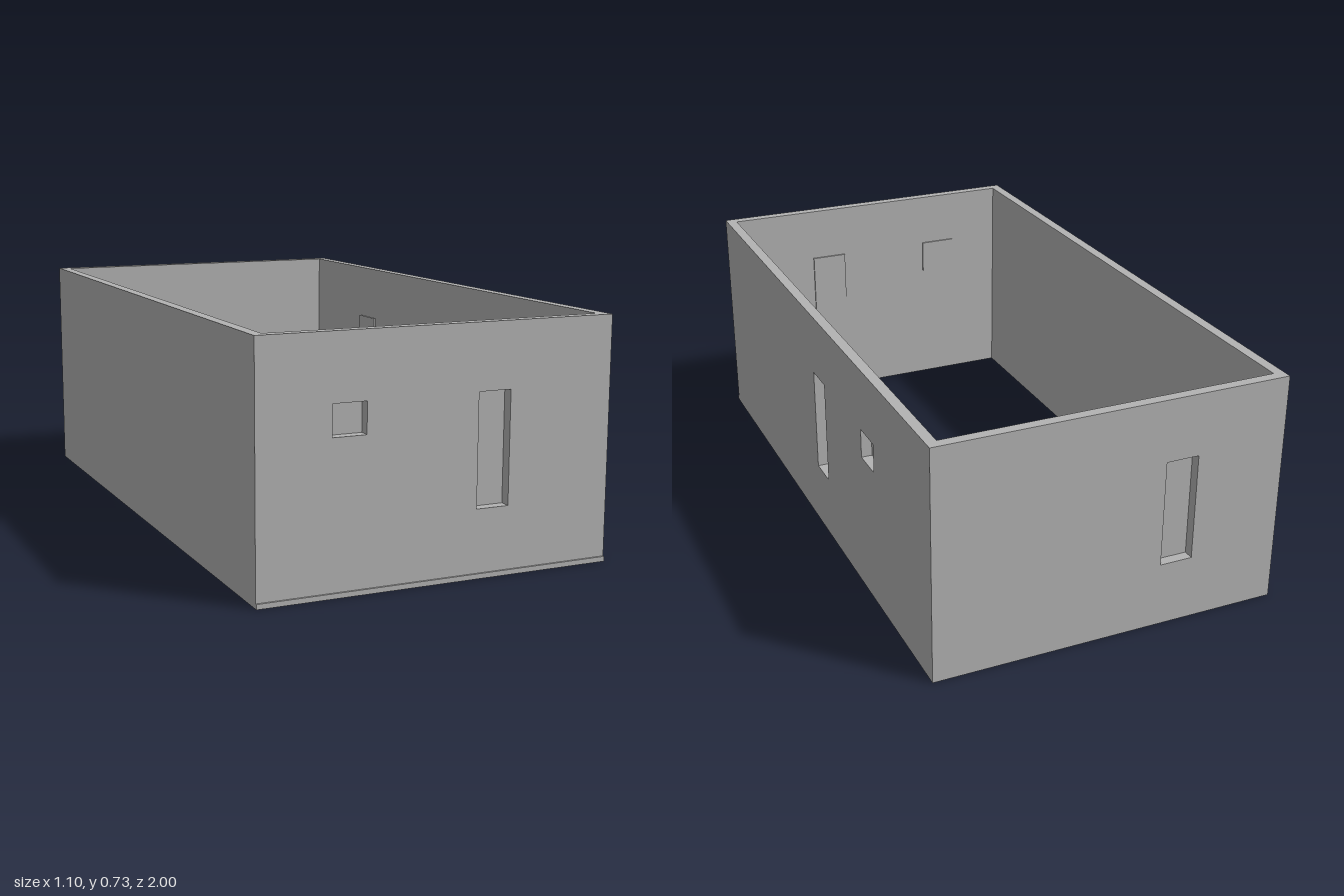
import * as THREE from 'three';

const H = 0.733;          // wall height
const X = 0.552;          // half width outside
const T = 0.033;          // wall thickness
const BACK = -1, FRONT = 0.994;
const LIP = 0.006;        // how far niche backs stand out into the room
const MARGIN = 0.011;     // niche back overlap around its opening

const grey = new THREE.MeshStandardMaterial({ color: 0xb3b3b3 });
grey.name = 'plaster grey';

function rect(Kind, x0, x1, y0, y1) {
  return new Kind([[x0, y0], [x1, y0], [x1, y1], [x0, y1]].map(p => new THREE.Vector2(...p)));
}

function box(name, w, h, d, x, y, z) {
  const mesh = new THREE.Mesh(new THREE.BoxGeometry(w, h, d), grey);
  mesh.name = name;
  mesh.position.set(x, y, z);
  return mesh;
}

// Wall whose outside is local +z at z = T; niches are [x0, x1, y0, y1]
function wall(name, x0, x1, niches) {
  const group = new THREE.Group();
  group.name = name;
  const shape = rect(THREE.Shape, x0, x1, 0, H);
  niches.forEach(n => shape.holes.push(rect(THREE.Path, ...n)));
  const panel = new THREE.Mesh(
    new THREE.ExtrudeGeometry(shape, { depth: T, bevelEnabled: false }), grey);
  panel.name = name + 'Panel';
  group.add(panel);
  // plates closing the niches on the room side
  niches.forEach(([a, b, c, d]) => group.add(box('nicheBack',
    b - a + 2 * MARGIN, d - c + 2 * MARGIN, LIP, (a + b) / 2, (c + d) / 2, -LIP / 2)));
  return group;
}

export function createModel() {
  const model = new THREE.Group();
  model.name = 'walledRoom';
  const TALL = [0.203, 0.538], SMALL = [0.446, 0.538];

  const front = wall('frontWall', -X, X, [[-0.33, -0.227, ...SMALL], [0.118, 0.22, ...TALL]]);
  front.position.z = FRONT - T;

  // local x runs towards -x on the back
  const back = wall('backWall', -X, X, [[0.163, 0.266, ...TALL]]);
  back.rotation.y = Math.PI;
  back.position.z = BACK + T;

  // local x runs towards -z on the +x side
  const side = wall('nicheSideWall', -(FRONT - T), -(BACK + T),
    [[0.022, 0.126, ...TALL], [0.461, 0.565, ...SMALL]]);
  side.rotation.y = Math.PI / 2;
  side.position.x = X - T;

  // plain wall on the -x side
  const plain = box('plainSideWall', T, H, FRONT - BACK - 2 * T,
    -X + T / 2, H / 2, (FRONT + BACK) / 2);

  // low ledge along the foot of the front
  const ledge = box('frontLedge', 2 * X, 0.015, 1 - FRONT, 0, 0.0075, (1 + FRONT) / 2);

  model.add(front, back, side, plain, ledge);
  return model;
}
